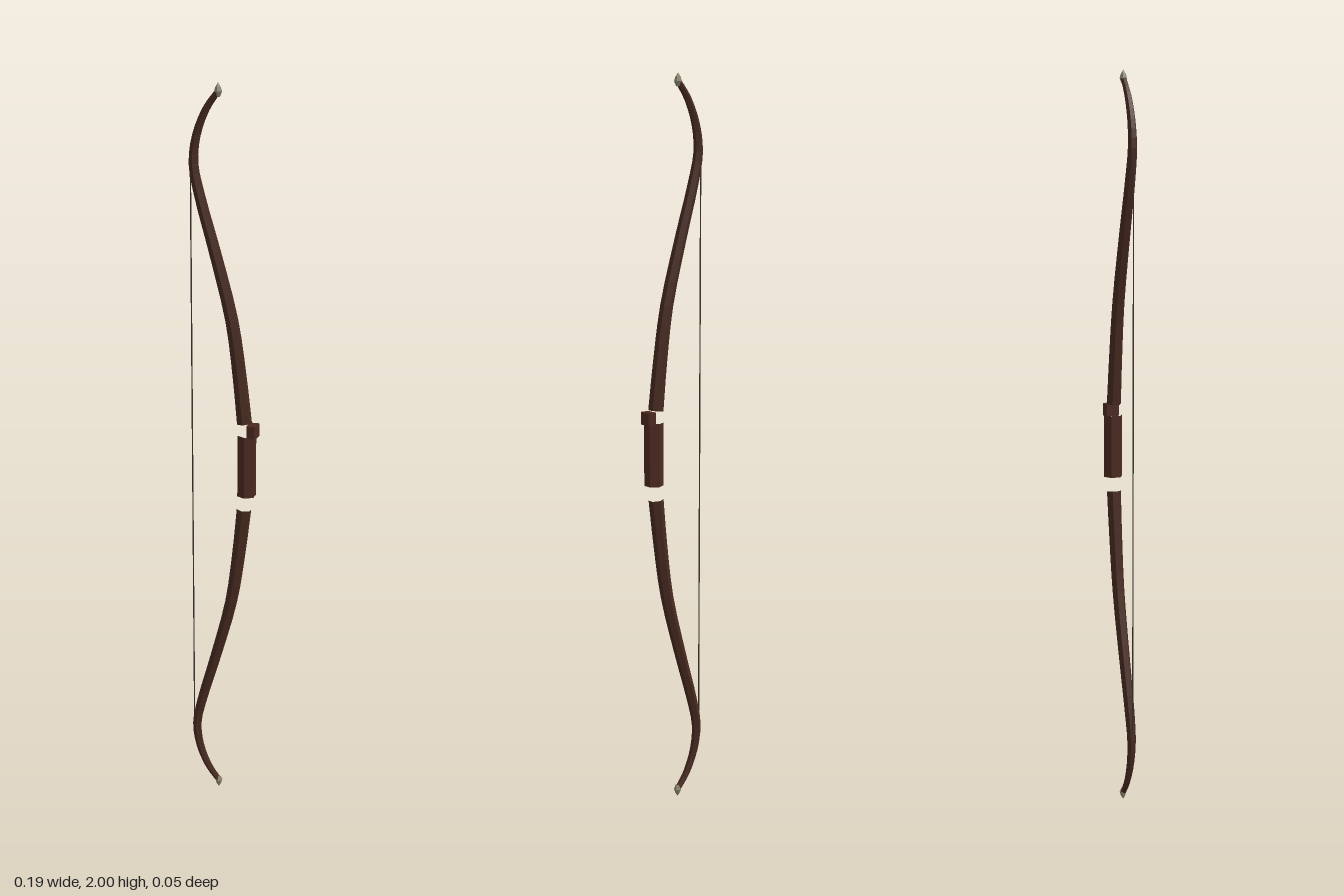
import * as THREE from 'three';

const SIDES = 6;

// Tapered six-sided tube along a curve lying in the xy plane
function taperedTube(curve, steps, radiusAt) {
  const pos = [], index = [];
  for (let i = 0; i <= steps; i++) {
    const t = i / steps;
    const p = curve.getPoint(t), d = curve.getTangent(t), r = radiusAt(t);
    for (let j = 0; j < SIDES; j++) {
      const a = (j / SIDES) * Math.PI * 2;
      const n = Math.sin(a) * r;
      pos.push(p.x + d.y * n, p.y - d.x * n, Math.cos(a) * r);
    }
  }
  for (let i = 0; i < steps; i++) {
    for (let j = 0; j < SIDES; j++) {
      const a = i * SIDES + j, b = i * SIDES + ((j + 1) % SIDES);
      index.push(a, b, b + SIDES, a, b + SIDES, a + SIDES);
    }
  }
  const geo = new THREE.BufferGeometry();
  geo.setAttribute('position', new THREE.Float32BufferAttribute(pos, 3));
  geo.setIndex(index);
  const flat = geo.toNonIndexed();
  flat.computeVertexNormals();
  return flat;
}

export function createModel() {
  const model = new THREE.Group();
  model.name = 'recurveBow';

  const material = (name, color) => {
    const m = new THREE.MeshStandardMaterial({ color, flatShading: true });
    m.name = name;
    return m;
  };
  const wood = material('darkWood', 0x472a20);
  const leather = material('gripLeather', 0x4c2a20);
  const horn = material('hornTip', 0x8c8770);
  const cord = material('bowCord', 0x3c3530);

  const add = (parent, name, geo, mat, x = 0, y = 0, z = 0) => {
    const mesh = new THREE.Mesh(geo, mat);
    mesh.name = name;
    mesh.position.set(x, y, z);
    parent.add(mesh);
    return mesh;
  };

  // Limb profile, measured from the middle of the bow
  const path = new THREE.CatmullRomCurve3([
    [0.055, 0.122], [0.041, 0.25], [0.019, 0.4], [-0.028, 0.58],
    [-0.068, 0.72], [-0.084, 0.8], [-0.076, 0.87], [-0.05, 0.935], [-0.019, 0.978],
  ].map(([x, y]) => new THREE.Vector3(x, y, 0)));
  const limbGeo = taperedTube(path, 24, (t) => 0.0205 - 0.0125 * t);
  const tipGeo = new THREE.LatheGeometry(
    [[0.005, 0], [0.0105, 0.013], [0.007, 0.024], [0, 0.035]].map(([r, y]) => new THREE.Vector2(r, y)), SIDES);

  // The lower limb is the upper one turned half round the x axis
  for (const [name, turn] of [['upper', 0], ['lower', Math.PI]]) {
    const limb = new THREE.Group();
    limb.name = name + 'Limb';
    limb.position.y = 1;
    limb.rotation.x = turn;
    add(limb, name + 'LimbBody', limbGeo, wood);
    add(limb, name + 'LimbTip', tipGeo, horn, -0.018, 0.965);
    model.add(limb);
  }

  // Hollow hexagonal grip sleeve
  add(model, 'grip', new THREE.CylinderGeometry(0.026, 0.026, 0.172, SIDES, 1, true), leather, 0.062, 1.004);

  // Arrow rest: small bevelled block at the front of the grip
  const w = 0.013, d = 0.02, c = 0.004;
  const outline = new THREE.Shape([
    [-w + c, -d], [w - c, -d], [w, -d + c], [w, d - c],
    [w - c, d], [-w + c, d], [-w, d - c], [-w, -d + c],
  ].map(([x, y]) => new THREE.Vector2(x, y)));
  const restGeo = new THREE.ExtrudeGeometry(outline, { depth: 0.034, bevelEnabled: false });
  restGeo.rotateX(-Math.PI / 2);
  add(model, 'arrowRest', restGeo, leather, 0.079, 1.086);

  // String between the two limb bends
  add(model, 'bowString', new THREE.CylinderGeometry(0.0018, 0.0018, 1.6, SIDES), cord, -0.0925, 1);

  return model;
}
